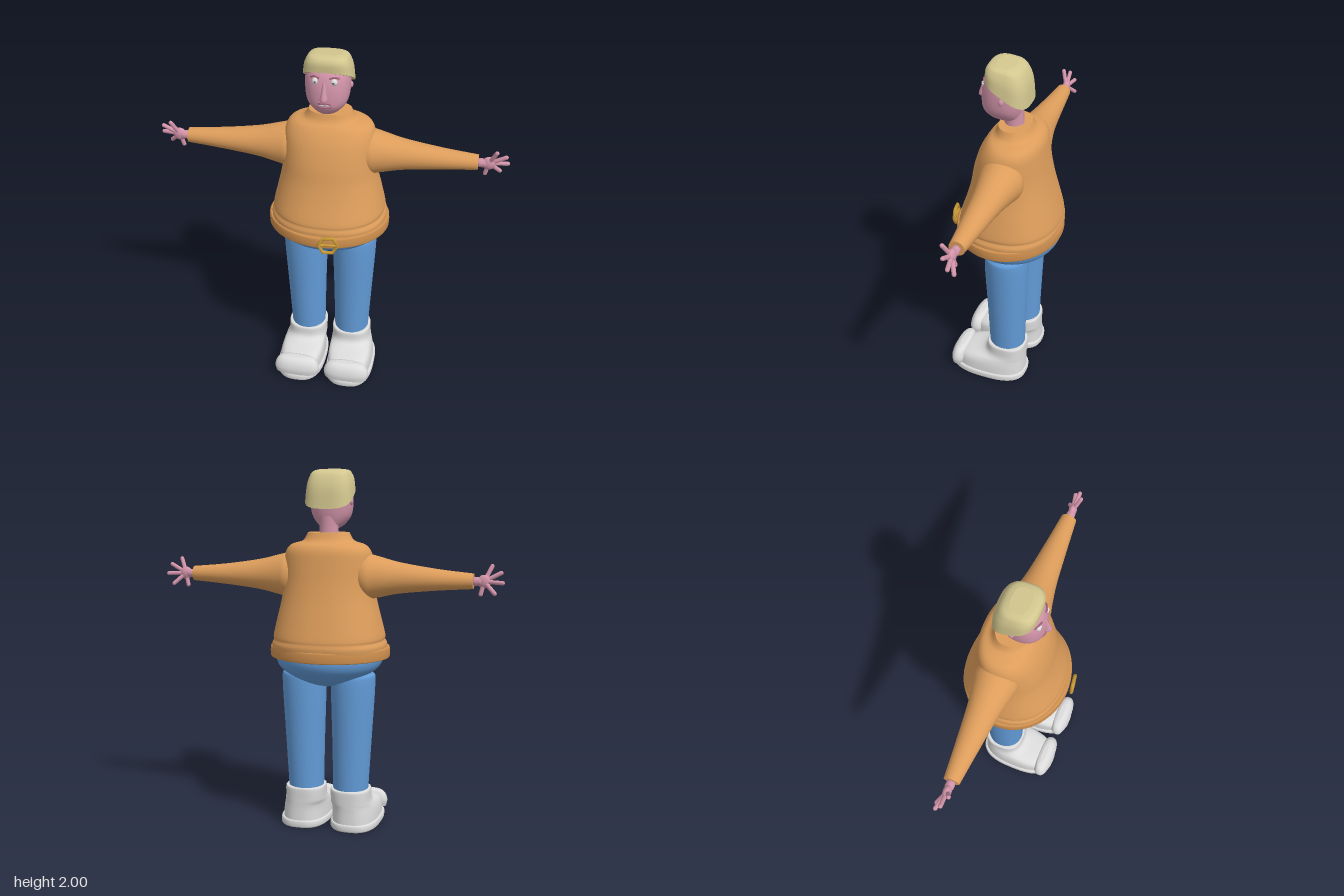
import * as THREE from 'three';

const paint = (name, color) => {
  const m = new THREE.MeshStandardMaterial({ color });
  m.name = name;
  return m;
};

// Skin over horizontal rings [y, halfWidth, zFront, zBack, xCentre]; n is the squareness
function loft(rings, { n = 2, seg = 40, steps = 4 } = {}) {
  const a = new THREE.CatmullRomCurve3(rings.map(r => new THREE.Vector3(r[0], r[1], r[4] || 0)), false, 'catmullrom');
  const b = new THREE.CatmullRomCurve3(rings.map(r => new THREE.Vector3(r[2], r[3], 0)), false, 'catmullrom');
  const rows = (rings.length - 1) * steps, pos = [], idx = [];
  const pow = v => Math.sign(v) * Math.abs(v) ** (2 / n);
  const ring = t => {
    const p = a.getPoint(t), q = b.getPoint(t);
    for (let j = 0; j < seg; j++) {
      const k = j / seg * Math.PI * 2;
      pos.push(p.z + p.y * pow(Math.cos(k)), p.x, (q.x + q.y) / 2 + (q.x - q.y) / 2 * pow(Math.sin(k)));
    }
    return [p.z, p.x, (q.x + q.y) / 2];
  };
  for (let i = 0; i <= rows; i++) ring(i / rows);
  for (let i = 0; i < rows; i++) for (let j = 0; j < seg; j++) {
    const p = i * seg + j, q = i * seg + (j + 1) % seg;
    idx.push(p, p + seg, q, q, p + seg, q + seg);
  }
  for (const t of [0, 1]) {
    const s = pos.length / 3, c = ring(t);
    pos.push(...c);
    for (let j = 0; j < seg; j++) {
      const p = s + j, q = s + (j + 1) % seg;
      idx.push(s + seg, t ? q : p, t ? p : q);
    }
  }
  const g = new THREE.BufferGeometry();
  g.setAttribute('position', new THREE.Float32BufferAttribute(pos, 3));
  g.setIndex(idx);
  g.computeVertexNormals();
  return g;
}

// Mirrored copy across x = 0 with its winding put right
function mirrored(geo) {
  const g = geo.clone().scale(-1, 1, 1), a = g.index.array;
  for (let i = 0; i < a.length; i += 3) [a[i], a[i + 1]] = [a[i + 1], a[i]];
  return g;
}

const ball = (x, y, z, rx, ry, rz) => new THREE.SphereGeometry(1, 24, 16).scale(rx, ry, rz).translate(x, y, z);

// Round-ended rod between two points
function rod(from, to, r) {
  const a = new THREE.Vector3(...from), b = new THREE.Vector3(...to), d = b.clone().sub(a);
  const turn = new THREE.Quaternion().setFromUnitVectors(new THREE.Vector3(0, 1, 0), d.clone().normalize());
  const m = a.add(b).multiplyScalar(0.5);
  return new THREE.CapsuleGeometry(r, Math.max(d.length() - 2 * r, 0.001), 4, 12).applyQuaternion(turn).translate(m.x, m.y, m.z);
}

const arc = (pts, r) => new THREE.TubeGeometry(new THREE.CatmullRomCurve3(pts.map(p => new THREE.Vector3(...p))), 16, r, 8);

export function createModel() {
  const model = new THREE.Group();
  const sweater = paint('sweater orange', 0xdd9d5b), leather = paint('belt tan', 0xd0904e);
  const gold = paint('buckle gold', 0xcb9a35), denim = paint('trouser blue', 0x629bd8);
  const white = paint('shoe white', 0xdcdcdc), skin = paint('skin pink', 0xd294a9);
  const blond = paint('hair blond', 0xd3c78f), lip = paint('lip rose', 0xa8697f);
  const dark = paint('pupil dark', 0x4a4a50);

  const add = (name, geo, mat) => {
    const m = new THREE.Mesh(geo, mat);
    m.name = name;
    model.add(m);
  };
  const pair = (name, geo, mat) => {
    add('left' + name, geo, mat);
    add('right' + name, mirrored(geo), mat);
  };

  // Sweater body, belt and hips
  add('sweaterBody', loft([
    [1.01, 0.315, 0.255, -0.3], [1.05, 0.318, 0.258, -0.305], [1.075, 0.306, 0.25, -0.3], [1.1, 0.308, 0.248, -0.298],
    [1.2, 0.285, 0.215, -0.272], [1.3, 0.262, 0.188, -0.246], [1.4, 0.25, 0.17, -0.225], [1.5, 0.247, 0.14, -0.21],
    [1.56, 0.235, 0.11, -0.2], [1.595, 0.205, 0.085, -0.18], [1.612, 0.15, 0.065, -0.15], [1.63, 0.13, 0.052, -0.135],
    [1.66, 0.115, 0.042, -0.122]], { n: 2.25, seg: 56 }), sweater);
  add('belt', loft([[0.975, 0.328, 0.272, -0.303], [0.982, 0.335, 0.28, -0.31], [1.028, 0.335, 0.28, -0.31],
    [1.036, 0.328, 0.272, -0.303]], { seg: 64, steps: 2 }), leather);
  add('hips', loft([[0.81, 0.02, -0.03, -0.08], [0.83, 0.1, 0.03, -0.15], [0.865, 0.19, 0.12, -0.22], [0.91, 0.265, 0.2, -0.275],
    [0.95, 0.295, 0.248, -0.297], [0.99, 0.302, 0.255, -0.3]], { seg: 56 }), denim);
  add('buckle', new THREE.TorusGeometry(0.052, 0.01, 8, 6).rotateY(0.15).translate(0.052, 1.01, 0.295), gold);
  add('bucklePin', rod([0.0, 1.01, 0.3], [0.1, 1.01, 0.29], 0.007), gold);

  // Legs and shoes
  pair('Leg', loft([[0.2, 0.098, 0.058, -0.148, 0.13], [0.5, 0.11, 0.068, -0.156, 0.136], [0.83, 0.124, 0.08, -0.165, 0.141],
    [0.89, 0.115, 0.065, -0.15, 0.14], [0.92, 0.07, 0.02, -0.1, 0.14]]), denim);
  pair('Sole', loft([[0.0, 0.132, 0.276, -0.165, 0.146], [0.008, 0.139, 0.284, -0.171, 0.146], [0.034, 0.139, 0.284, -0.171, 0.146],
    [0.042, 0.132, 0.276, -0.165, 0.146]], { n: 2.7, steps: 2 }), white);
  pair('Shoe', loft([[0.03, 0.13, 0.272, -0.163, 0.145], [0.08, 0.128, 0.272, -0.161, 0.144], [0.11, 0.125, 0.255, -0.16, 0.142],
    [0.132, 0.12, 0.2, -0.16, 0.139], [0.15, 0.115, 0.11, -0.16, 0.135], [0.175, 0.112, 0.075, -0.16, 0.133],
    [0.222, 0.112, 0.069, -0.16, 0.132], [0.231, 0.106, 0.063, -0.154, 0.132]], { n: 2.5 }), white);
  pair('ToeCap', loft([[0.04, 0.125, 0.28, 0.19, 0.147], [0.075, 0.132, 0.284, 0.182, 0.147], [0.11, 0.122, 0.276, 0.186, 0.147],
    [0.134, 0.1, 0.26, 0.195, 0.147], [0.144, 0.06, 0.24, 0.212, 0.147]], { n: 2.5 }), white);

  // Sleeves, lofted upright and then laid along x
  const sleeve = loft([[0.16, 0.1, 0.06, -0.145, -1.43], [0.22, 0.122, 0.078, -0.165, -1.425], [0.28, 0.112, 0.066, -0.152, -1.424],
    [0.4, 0.084, 0.043, -0.128, -1.422], [0.6, 0.058, 0.02, -0.105, -1.418], [0.795, 0.041, 0.0, -0.085, -1.416]]);
  pair('Sleeve', sleeve.rotateZ(-Math.PI / 2), sweater);

  // Hands
  pair('Wrist', rod([0.78, 1.415, -0.042], [0.85, 1.415, -0.042], 0.024), skin);
  pair('Palm', ball(0.85, 1.416, -0.042, 0.036, 0.036, 0.022), skin);
  const tips = [[0.892, 1.505, -0.008], [0.948, 1.468, -0.035], [0.96, 1.412, -0.065], [0.918, 1.35, -0.082], [0.832, 1.338, -0.052]];
  tips.forEach((tip, i) => pair('Finger' + (i + 1), rod([0.85, 1.416, -0.042], tip, 0.0115), skin));

  // Neck and head
  add('neck', loft([[1.6, 0.058, 0.022, -0.09], [1.67, 0.052, 0.018, -0.084], [1.75, 0.055, 0.02, -0.085]]), skin);
  add('head', loft([[1.675, 0.03, 0.065, -0.05], [1.695, 0.064, 0.1, -0.068], [1.735, 0.098, 0.13, -0.08], [1.78, 0.113, 0.137, -0.088],
    [1.85, 0.118, 0.133, -0.095], [1.91, 0.113, 0.115, -0.095], [1.95, 0.09, 0.085, -0.08]], { n: 2.2 }), skin);
  pair('Ear', ball(0.117, 1.825, -0.002, 0.01, 0.018, 0.014), skin);
  add('nose', loft([[1.778, 0.007, 0.152, 0.11], [1.789, 0.021, 0.164, 0.11], [1.82, 0.016, 0.156, 0.11],
    [1.878, 0.008, 0.134, 0.1]], { seg: 16 }), skin);

  // Eyes, brows and mouth
  pair('Eye', ball(0.048, 1.88, 0.112, 0.018, 0.018, 0.016), white);
  pair('Pupil', ball(0.048, 1.88, 0.127, 0.005, 0.005, 0.002), dark);
  pair('Brow', arc([[0.025, 1.9, 0.121], [0.048, 1.907, 0.115], [0.074, 1.897, 0.1]], 0.005), lip);
  add('teeth', ball(0, 1.757, 0.122, 0.042, 0.01, 0.015), white);
  add('upperLip', arc([[-0.048, 1.752, 0.118], [-0.022, 1.768, 0.133], [0, 1.766, 0.137], [0.022, 1.768, 0.133], [0.048, 1.752, 0.118]], 0.005), lip);
  add('lowerLip', arc([[-0.048, 1.752, 0.118], [-0.022, 1.745, 0.132], [0.022, 1.745, 0.132], [0.048, 1.752, 0.118]], 0.005), lip);

  // Hair: a rounded cap whose lower edge slopes down to the nape
  const hair = loft([[0, 0.132, 0.106, -0.127], [0.5, 0.124, 0.107, -0.118], [0.8, 0.11, 0.098, -0.097],
    [0.94, 0.096, 0.082, -0.075], [1, 0.07, 0.055, -0.045]], { n: 3, seg: 48 });
  const p = hair.attributes.position;
  for (let i = 0; i < p.count; i++) {
    const z = p.getZ(i), low = 1.862 + 0.578 * z;
    p.setY(i, low + p.getY(i) * (1.997 + 0.06 * z - low));
  }
  hair.computeVertexNormals();
  add('hair', hair, blond);

  return model;
}
